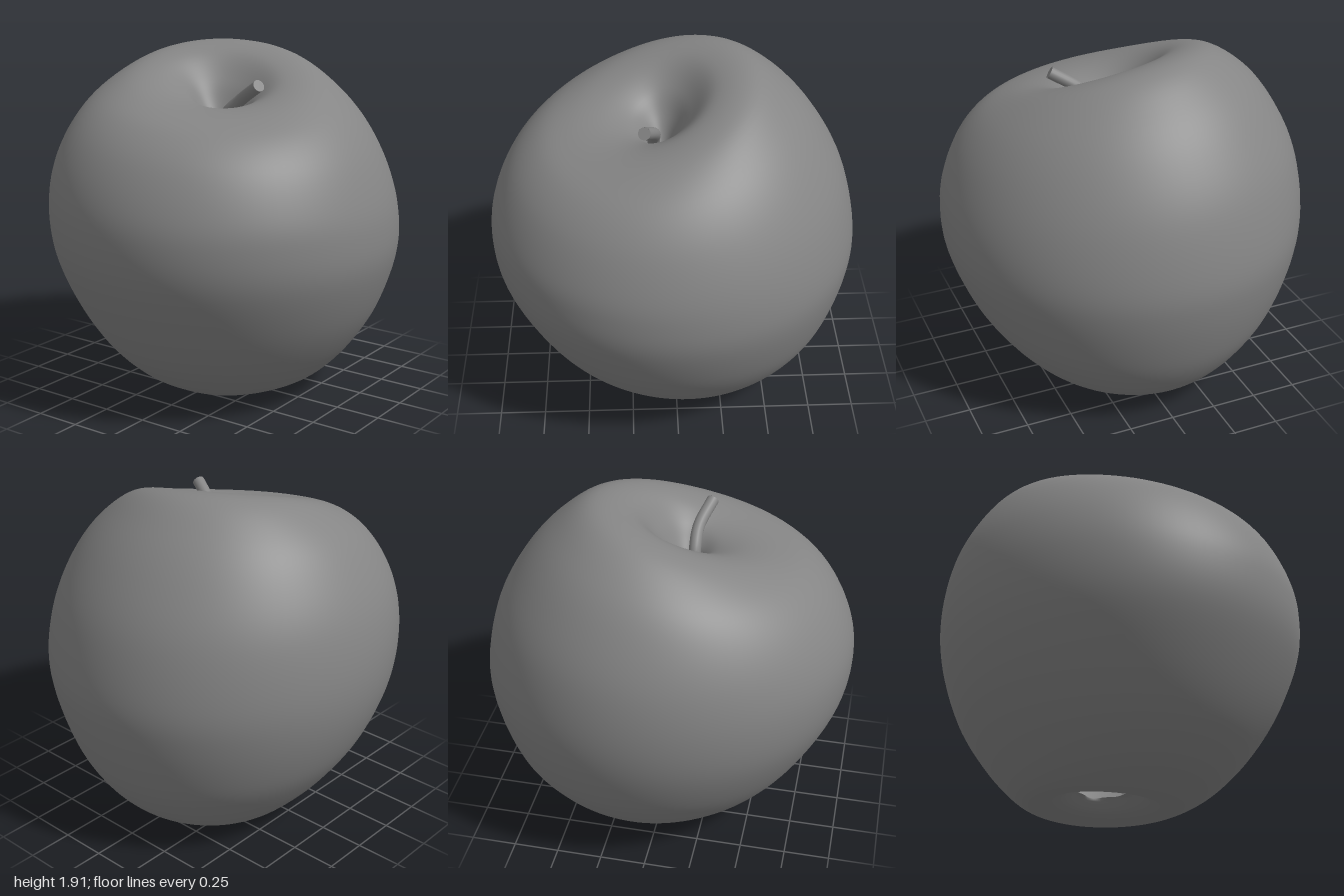
import * as THREE from 'three';

// Rings from the dimple, over the shoulder, down to the open base.
// Each: x min, x max, z min, z max, then height at right (-x), left (+x), back, front
const RINGS = [
  [0.035, 0.045, 0.075, 0.085, 1.42, 1.42, 1.42, 1.42],
  [-0.02, 0.09, 0.03, 0.12, 1.48, 1.47, 1.48, 1.48],
  [-0.09, 0.16, -0.02, 0.17, 1.58, 1.55, 1.58, 1.56],
  [-0.18, 0.25, -0.09, 0.25, 1.71, 1.635, 1.70, 1.615],
  [-0.32, 0.38, -0.22, 0.39, 1.815, 1.68, 1.845, 1.64],
  [-0.5, 0.55, -0.42, 0.56, 1.825, 1.66, 1.88, 1.62],
  [-0.7, 0.72, -0.61, 0.72, 1.705, 1.56, 1.755, 1.56],
  [-0.84, 0.85, -0.78, 0.86, 1.53, 1.40, 1.56, 1.43],
  [-0.94, 0.94, -0.92, 0.96, 1.31, 1.19, 1.30, 1.24],
  [-0.98, 0.975, -0.995, 1.0, 1.05, 1.0, 0.98, 1.04],
  [-0.955, 0.96, -0.98, 0.97, 0.79, 0.79, 0.74, 0.80],
  [-0.86, 0.86, -0.9, 0.85, 0.52, 0.52, 0.46, 0.53],
  [-0.72, 0.72, -0.80, 0.70, 0.30, 0.30, 0.27, 0.30],
  [-0.58, 0.57, -0.68, 0.53, 0.14, 0.14, 0.13, 0.14],
  [-0.47, 0.43, -0.56, 0.38, 0.05, 0.05, 0.05, 0.05],
  [-0.38, 0.31, -0.43, 0.25, 0.025, 0.015, 0.018, 0.0],
  [-0.28, 0.20, -0.31, 0.13, 0.06, 0.05, 0.05, 0.04],
  [-0.2, 0.11, -0.24, 0.05, 0.12, 0.12, 0.12, 0.11],
];

// Smooth interpolation along the list of rings
function ringAt(t) {
  const last = RINGS.length - 1;
  const i = Math.min(Math.floor(t), last - 1), f = t - i;
  const a = RINGS[Math.max(i - 1, 0)], b = RINGS[i];
  const c = RINGS[i + 1], d = RINGS[Math.min(i + 2, last)];
  return b.map((v, k) => v + 0.5 * f * (c[k] - a[k]
    + f * (2 * a[k] - 5 * v + 4 * c[k] - d[k] + f * (3 * (v - c[k]) + d[k] - a[k]))));
}

function fruitGeometry(rows = 102, sides = 96) {
  const pos = [], index = [];
  for (let i = 0; i <= rows; i++) {
    const [x0, x1, z0, z1, yR, yL, yB, yF] = ringAt(i / rows * (RINGS.length - 1));
    for (let j = 0; j < sides; j++) {
      const th = j / sides * Math.PI * 2, c = Math.cos(th), s = Math.sin(th);
      // slightly fuller on one diagonal, with a ragged edge around the base opening
      let swell = 1 + 0.02 * Math.sin(2 * th);
      if (i === rows) swell += 0.07 * Math.sin(3 * th) + 0.05 * Math.sin(7 * th);
      pos.push(
        (x0 + x1) / 2 + (x1 - x0) / 2 * c * swell,
        (yR + yL) / 2 * c * c + (yB + yF) / 2 * s * s + (yL - yR) / 2 * c + (yF - yB) / 2 * s,
        (z0 + z1) / 2 + (z1 - z0) / 2 * s * swell);
      if (i < rows) {
        const k = (j + 1) % sides;
        const a = i * sides + j, b = i * sides + k;
        index.push(a, b, a + sides, b, b + sides, a + sides);
      }
    }
  }
  // close the bottom of the dimple
  const centre = pos.length / 3;
  pos.push(0.04, 1.42, 0.08);
  for (let j = 0; j < sides; j++) index.push(centre, (j + 1) % sides, j);
  const geo = new THREE.BufferGeometry();
  geo.setAttribute('position', new THREE.Float32BufferAttribute(pos, 3));
  geo.setIndex(index);
  geo.computeVertexNormals();
  return geo;
}

export function createModel() {
  const group = new THREE.Group();
  group.name = 'apple';
  const material = new THREE.MeshStandardMaterial({ color: 0x858585, side: THREE.DoubleSide });

  const fruit = new THREE.Mesh(fruitGeometry(), material);
  fruit.name = 'fruit';
  group.add(fruit);

  // Curved stem with a flat cut end
  const path = new THREE.CatmullRomCurve3([
    new THREE.Vector3(0.05, 1.44, 0.11),
    new THREE.Vector3(0.09, 1.56, 0.108),
    new THREE.Vector3(0.185, 1.645, 0.11),
    new THREE.Vector3(0.33, 1.735, 0.16),
  ]);
  const radius = 0.033;
  const stem = new THREE.Mesh(new THREE.TubeGeometry(path, 24, radius, 16), material);
  stem.name = 'stem';
  const cut = new THREE.Mesh(new THREE.CircleGeometry(radius, 16), material);
  cut.name = 'stemEnd';
  cut.position.copy(path.getPoint(1));
  cut.quaternion.setFromUnitVectors(new THREE.Vector3(0, 0, 1), path.getTangent(1));
  group.add(stem, cut);
  return group;
}
